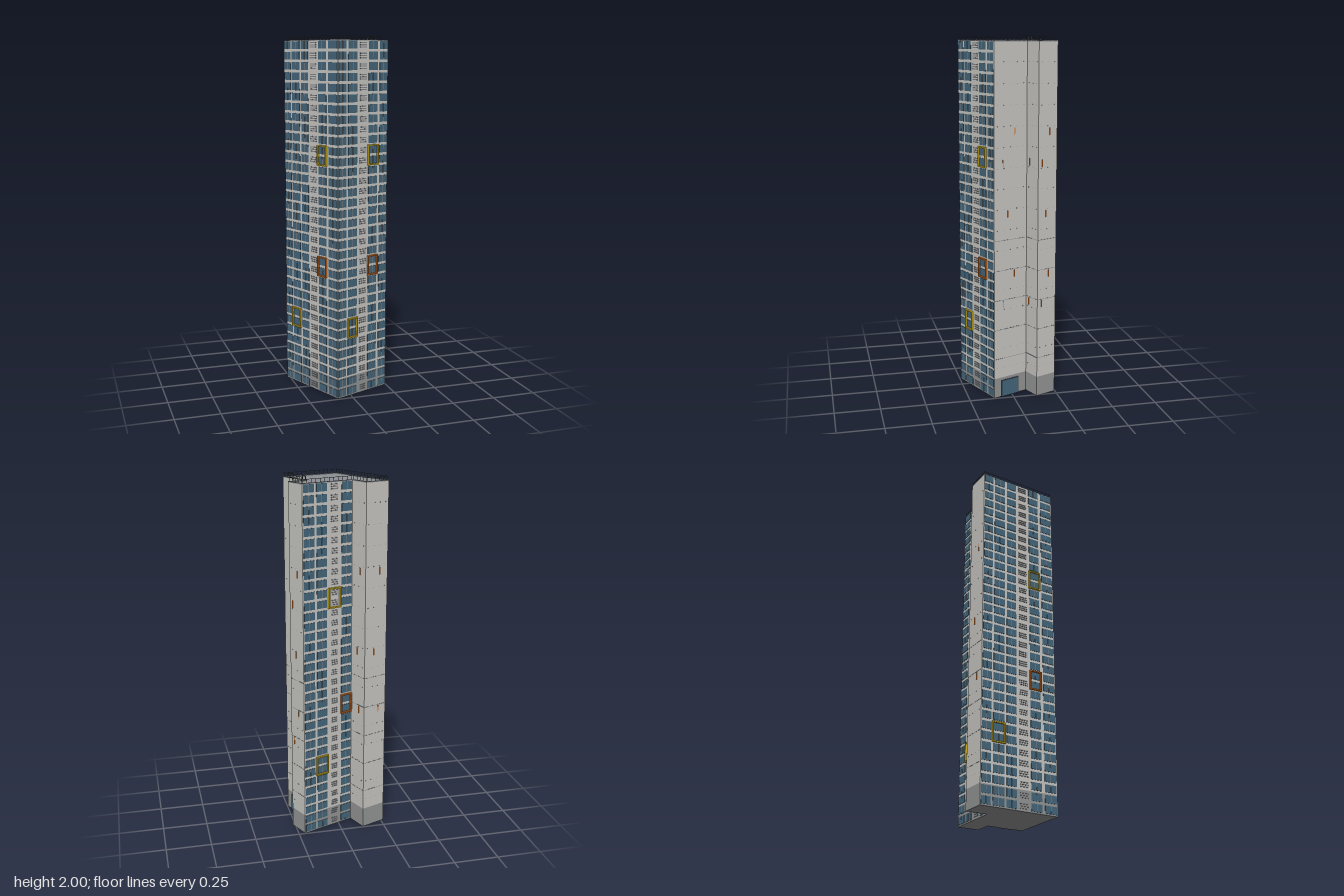
import * as THREE from 'three';
import { mergeGeometries } from 'three/addons/utils/BufferGeometryUtils.js';

const FLOORS = 35, ROOF = 1.98, FH = ROOF / FLOORS;

// Footprint corners [x, z], walked left to right as seen from outside
const H = [-0.085, 0.242], G = [0.246, 0.11], F = [0.164, -0.091], E = [0.263, -0.13];
const D = [0.215, -0.247], C = [-0.082, -0.13], B = [-0.127, -0.245], A = [-0.264, -0.19];
const corners = [H, G, F, E, D, C, B, A];

const mat = (name, color) => {
  const m = new THREE.MeshStandardMaterial({ color });
  m.name = name;
  return m;
};

export function createModel() {
  const M = {
    wall: mat('pale concrete', 0xcbcac6),
    base: mat('grey plinth', 0x969797),
    roof: mat('roof grey', 0x8b8f93),
    glass: mat('blue glass', 0x45677c),
    slat: mat('louver grey', 0x85868a),
    dark: mat('dark metal', 0x4a4d50),
    yellow: mat('yellow frame', 0xe0bb1c),
    orange: mat('orange accent', 0xdd7220),
  };
  const model = new THREE.Group();
  model.name = 'towerBlock';

  // Solid prisms over the footprint
  const shape = new THREE.Shape(corners.map(([x, z]) => new THREE.Vector2(x, -z)));
  const prism = (name, y0, y1, material) => {
    const g = new THREE.ExtrudeGeometry(shape, { depth: y1 - y0, bevelEnabled: false });
    g.rotateX(-Math.PI / 2).translate(0, y0, 0);
    const mesh = new THREE.Mesh(g, material);
    mesh.name = name;
    model.add(mesh);
  };
  prism('plinth', 0, 2 * FH, M.base);
  prism('towerBody', 2 * FH, 1.974, M.wall);
  prism('roofSlab', 1.974, 1.977, M.roof);

  // One group per wall: x runs along the wall, z points outwards
  const wallOf = (name, p, q) => {
    const dx = q[0] - p[0], dz = q[1] - p[1];
    const group = new THREE.Group();
    group.name = name;
    group.position.set(p[0], 0, p[1]);
    group.rotation.y = Math.atan2(-dz, dx);
    model.add(group);
    const parts = {};
    return {
      length: Math.hypot(dx, dz),
      // Box from x0..x1, y0..y1 and z0..z1, collected under a part name
      box(part, material, x0, x1, y0, y1, z0, z1) {
        const g = new THREE.BoxGeometry(x1 - x0, y1 - y0, z1 - z0);
        g.translate((x0 + x1) / 2, (y0 + y1) / 2, (z0 + z1) / 2);
        (parts[part] ??= { material, list: [] }).list.push(g);
      },
      finish() {
        for (const [part, { material, list }] of Object.entries(parts)) {
          const mesh = new THREE.Mesh(mergeGeometries(list), material);
          mesh.name = part;
          group.add(mesh);
        }
      },
    };
  };

  // Parapet and railing along the roof edge
  const roofEdge = (w) => {
    const L = w.length;
    w.box('parapet', M.roof, 0, L, 1.974, ROOF, -0.009, 0);
    w.box('railing', M.dark, 0, L, 1.998, 2.0, -0.006, -0.004);
    const n = Math.round(L / 0.03);
    for (let i = 0; i <= n; i++) {
      const x = 0.004 + (L - 0.008) * i / n;
      w.box('railing', M.dark, x - 0.001, x + 0.001, ROOF, 1.999, -0.006, -0.004);
    }
  };

  // Window wall: glass columns, one louver column, outlined bay frames
  const windowWall = (name, p, q, columns, louver, frames) => {
    const w = wallOf(name, p, q), L = w.length;
    for (let f = 0; f < FLOORS; f++) {
      const y = f * FH;
      for (const [a, b] of columns) {
        const m = (a + b) / 2 * L;
        w.box('windows', M.glass, a * L, b * L, y + 0.008, y + 0.05, -0.002, 0.002);
        w.box('mullions', M.slat, m - 0.001, m + 0.001, y + 0.008, y + 0.05, 0, 0.003);
      }
      for (let s = 0; s < 3; s++) {
        const ys = y + 0.014 + s * 0.012;
        w.box('louvers', M.slat, louver[0] * L, louver[1] * L, ys, ys + 0.006, -0.002, 0.003);
      }
    }
    for (const [a, b, floor, key] of frames) {
      const x0 = a * L, x1 = b * L, y0 = floor * FH, y1 = y0 + 2 * FH, t = 0.007;
      const bar = (...r) => w.box(key + 'BayFrames', M[key], ...r, -0.002, 0.011);
      bar(x0, x0 + t, y0, y1);
      bar(x1 - t, x1, y0, y1);
      bar(x0 + t, x1 - t, y0, y0 + t);
      bar(x0 + t, x1 - t, y1 - t, y1);
    }
    roofEdge(w);
    w.finish();
  };
  windowWall('frontFacade', H, G,
    [[0.01, 0.16], [0.195, 0.375], [0.605, 0.785], [0.83, 0.985]], [0.43, 0.56],
    [[0.185, 0.385, 6, 'yellow'], [0.59, 0.80, 12, 'orange'], [0.59, 0.80, 23, 'yellow']]);
  windowWall('sideFacade', A, H,
    [[0.01, 0.13], [0.155, 0.30], [0.33, 0.46], [0.65, 0.79], [0.83, 0.985]], [0.50, 0.61],
    [[0.14, 0.31, 6, 'yellow'], [0.64, 0.80, 12, 'orange'], [0.64, 0.80, 23, 'yellow']]);
  windowWall('backFacade', D, C,
    [[0.02, 0.23], [0.275, 0.48], [0.78, 0.985]], [0.57, 0.70],
    [[0.25, 0.50, 6, 'yellow'], [0.505, 0.755, 23, 'yellow'], [0.765, 0.99, 12, 'orange']]);

  // Blank wall: joints, rows of small vents and orange strips at [t, y]
  const blankWall = (name, p, q, strips, door) => {
    const w = wallOf(name, p, q), L = w.length;
    for (let k = 0; k < 5; k++) {
      const y = (4 + 3 * k) * FH;
      w.box('joints', M.slat, 0, L, y - 0.001, y + 0.001, -0.001, 0.0008);
    }
    const n = Math.max(2, Math.round(L / 0.04));
    for (let f = 3; f < FLOORS; f += 2) {
      for (let i = 0; i < n; i++) {
        const x = (i + 0.5) * L / n;
        w.box('vents', M.slat, x - 0.002, x + 0.002, f * FH, f * FH + 0.003, -0.001, 0.001);
      }
    }
    for (const [t, y] of strips)
      w.box('accentStrips', M.orange, t * L - 0.002, t * L + 0.002, y - 0.02, y + 0.02, -0.001, 0.003);
    if (door) {
      w.box('doorFrame', M.dark, door[0] * L, door[1] * L, 0, 0.097, -0.001, 0.003);
      w.box('entranceDoor', M.glass, door[0] * L + 0.003, door[1] * L - 0.003, 0, 0.094, 0, 0.005);
    }
    roofEdge(w);
    w.finish();
  };
  blankWall('entranceWall', G, F,
    [[0.62, 1.5], [0.27, 1.33], [0.42, 1.05], [0.62, 0.71], [0.27, 0.54]], [0.2, 0.75]);
  blankWall('wingFrontWall', F, E, [[0.25, 1.33], [0.25, 0.54]]);
  blankWall('wingEndWall', E, D,
    [[0.6, 1.5], [0.22, 1.33], [0.43, 1.05], [0.6, 0.71], [0.22, 0.54]]);
  blankWall('rearInnerWall', C, B, [[0.6, 1.5], [0.43, 1.05], [0.6, 0.71]]);
  blankWall('rearEndWall', B, A, [[0.65, 1.5], [0.42, 1.05], [0.65, 0.71]]);

  return model;
}
